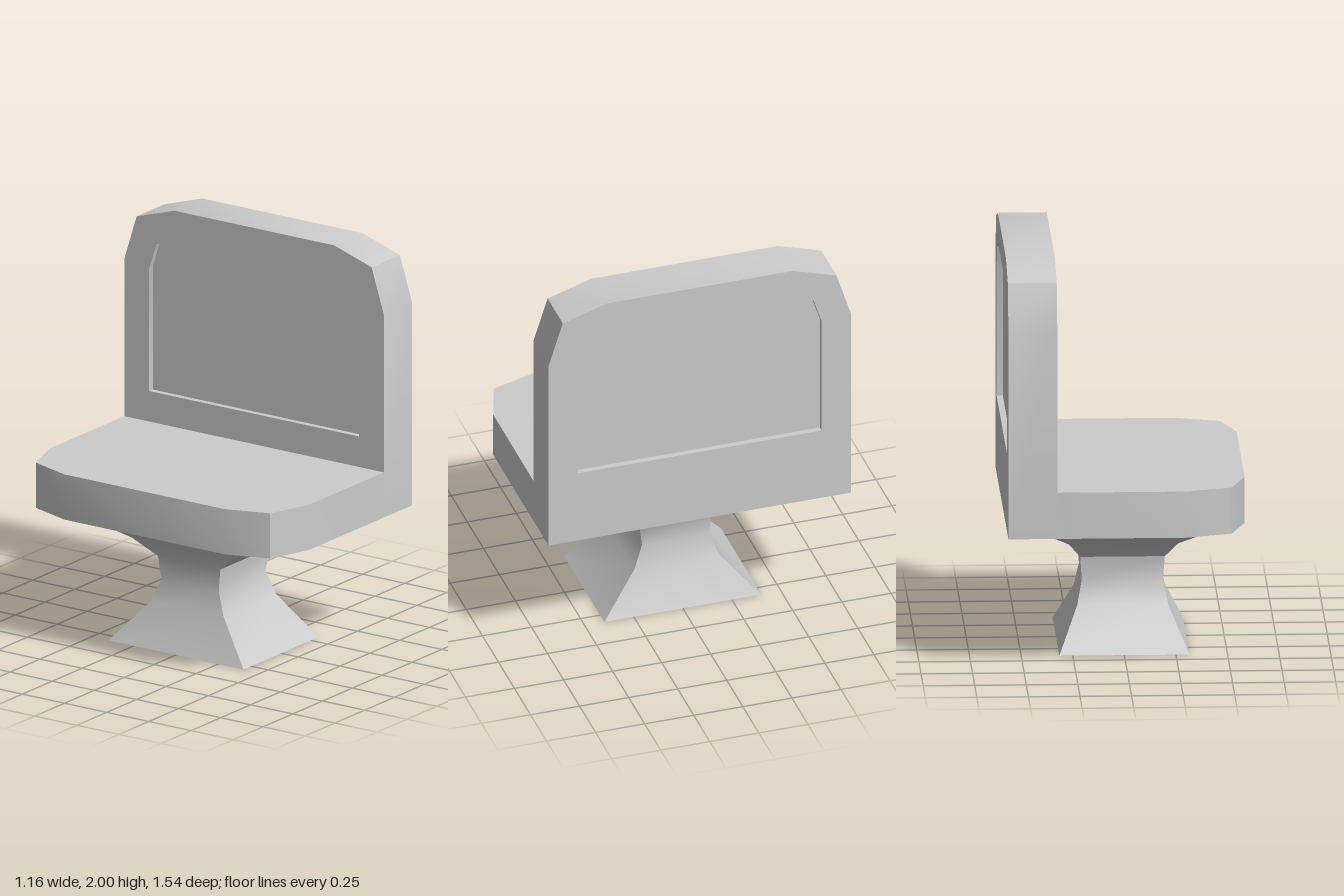
import * as THREE from 'three';
import { toCreasedNormals } from 'three/addons/utils/BufferGeometryUtils.js';

const CREASE = 0.6;
const material = new THREE.MeshStandardMaterial({ color: 0xcccccc });

function addPart(group, name, geometry) {
  const mesh = new THREE.Mesh(toCreasedNormals(geometry, CREASE), material);
  mesh.name = name;
  group.add(mesh);
}

const points = (list) => list.map(([a, b]) => new THREE.Vector2(a, b));

// Closed outline in (z, y), mirrored from its +z half
const mirrorZ = (half) => points([...half, ...half.map(([z, y]) => [-z, y]).reverse()]);

const extrude = (shape, depth) => new THREE.ExtrudeGeometry(shape, { depth, bevelEnabled: false });

// Rectangular column skinned through [y, half width x, half depth z] sections
function pedestalGeometry(sections) {
  const positions = [];
  const index = [];
  for (const [y, hx, hz] of sections) {
    positions.push(-hx, y, hz, hx, y, hz, hx, y, -hz, -hx, y, -hz);
  }
  for (let i = 0; i < sections.length - 1; i++) {
    for (let j = 0; j < 4; j++) {
      const a = i * 4 + j;
      const b = i * 4 + ((j + 1) % 4);
      index.push(a, b, b + 4, a, b + 4, a + 4);
    }
  }
  const t = (sections.length - 1) * 4;
  index.push(0, 2, 1, 0, 3, 2, t, t + 1, t + 2, t, t + 2, t + 3);
  const geometry = new THREE.BufferGeometry();
  geometry.setAttribute('position', new THREE.Float32BufferAttribute(positions, 3));
  geometry.setIndex(index);
  return geometry;
}

export function createModel() {
  const group = new THREE.Group();
  group.name = 'benchSeat';

  const seatBottom = 0.67, seatTop = 0.9;
  const backFront = 0.34, backRear = 0.577, recess = 0.03;

  // Flared pedestal
  addPart(group, 'pedestal', pedestalGeometry([
    [0, 0.315, 0.4], [0.21, 0.22, 0.215], [0.325, 0.197, 0.17],
    [0.44, 0.205, 0.185], [0.53, 0.265, 0.3], [seatBottom, 0.43, 0.622],
  ]));

  // Seat slab with chamfered front corners
  const seatShape = new THREE.Shape(points([
    [backFront, -0.77], [backFront, 0.77], [-0.285, 0.77], [-0.508, 0.695],
    [-0.58, 0.475], [-0.58, -0.475], [-0.508, -0.695], [-0.285, -0.77],
  ]));
  const seat = extrude(seatShape, seatTop - seatBottom);
  seat.rotateX(-Math.PI / 2).translate(0, seatBottom, 0);
  addPart(group, 'seat', seat);

  // Backrest frame, open where the panel sits
  const opening = mirrorZ([[0.622, 1.055], [0.622, 1.68], [0.58, 1.81], [0.455, 1.855]]);
  const frameShape = new THREE.Shape(mirrorZ([
    [0.77, seatBottom], [0.77, 1.7], [0.697, 1.93], [0.475, 2],
  ]));
  frameShape.holes.push(new THREE.Path(opening));
  const frame = extrude(frameShape, backRear - backFront);
  frame.rotateY(Math.PI / 2).translate(backFront, 0, 0);
  addPart(group, 'backrestFrame', frame);

  // Panel set back on both faces
  const panel = extrude(new THREE.Shape(opening), backRear - backFront - 2 * recess);
  panel.rotateY(Math.PI / 2).translate(backFront + recess, 0, 0);
  addPart(group, 'backrestPanel', panel);

  return group;
}
